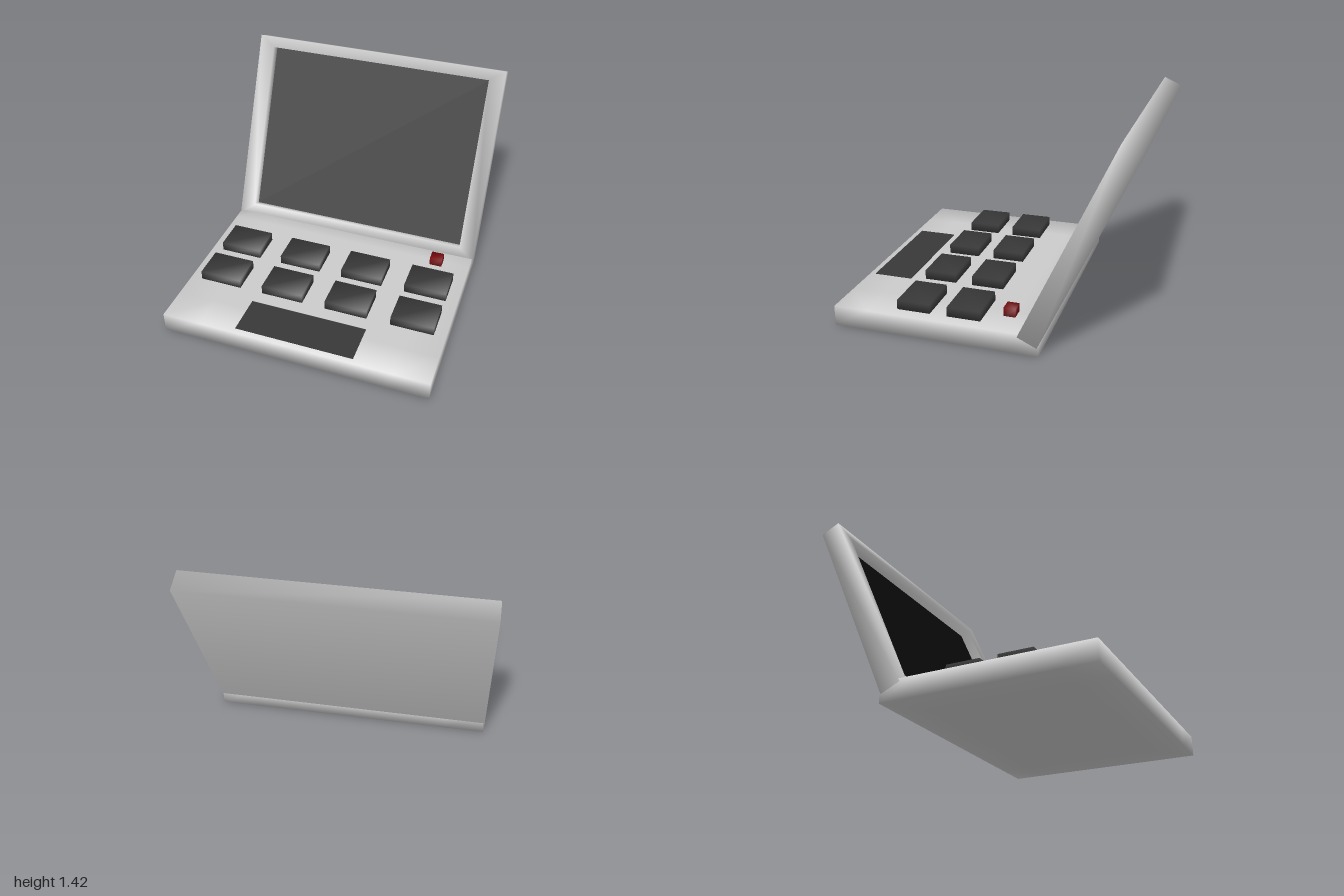
import * as THREE from 'three';
import { mergeVertices } from 'three/addons/utils/BufferGeometryUtils.js';

const material = (name, color) => {
  const m = new THREE.MeshStandardMaterial({ color });
  m.name = name;
  return m;
};

// Box with welded corners, so its shading runs softly round the edges
function softBox(w, h, d, sx = 1, sz = 1) {
  const box = new THREE.BoxGeometry(w, h, d, sx, 1, sz);
  box.deleteAttribute('normal');
  box.deleteAttribute('uv');
  const g = mergeVertices(box);
  g.computeVertexNormals();
  return g;
}

// Lid shell: rectangular rings from the back, round the rim and into the recess
function lidShell(rings) {
  const pos = [], idx = [];
  for (const [hw, y0, y1, z] of rings) pos.push(-hw, y0, z, hw, y0, z, hw, y1, z, -hw, y1, z);
  for (let r = 0; r < rings.length - 1; r++) {
    for (let i = 0; i < 4; i++) {
      const a = r * 4 + i, b = r * 4 + (i + 1) % 4;
      idx.push(a, b, b + 4, a, b + 4, a + 4);
    }
  }
  idx.push(0, 2, 1, 0, 3, 2); // back panel
  const g = new THREE.BufferGeometry();
  g.setAttribute('position', new THREE.Float32BufferAttribute(pos, 3));
  g.setIndex(idx);
  g.computeVertexNormals();
  return g;
}

export function createModel() {
  const casing = material('light grey casing', 0xcccccc);
  const dark = material('dark grey keys', 0x383838);
  const black = material('black screen', 0x0a0a0a);
  const red = material('red button', 0x7c0c0f);

  const model = new THREE.Group();
  model.name = 'laptop';
  const add = (parent, name, geometry, mat, x, y, z) => {
    const mesh = new THREE.Mesh(geometry, mat);
    mesh.name = name;
    mesh.position.set(x, y, z);
    parent.add(mesh);
    return mesh;
  };

  // Base
  add(model, 'base', softBox(1.895, 0.14, 1.41, 7, 6), casing, 0, 0.07, 0.295);

  // Two rows of four keys
  const keys = new THREE.Group();
  keys.name = 'keys';
  model.add(keys);
  const keyGeometry = softBox(0.305, 0.075, 0.23);
  for (const z of [0.115, 0.465]) {
    for (const x of [-0.712, -0.237, 0.237, 0.712]) add(keys, 'key', keyGeometry, dark, x, 0.1685, z);
  }

  // Power button and touchpad
  add(model, 'powerButton', softBox(0.09, 0.07, 0.08), red, 0.705, 0.165, -0.16);
  add(model, 'touchpad', new THREE.BoxGeometry(0.84, 0.006, 0.28), dark, 0, 0.14, 0.82);

  // Tilted lid with a recessed screen
  const lid = new THREE.Group();
  lid.name = 'lid';
  lid.position.set(0, 0.74, -0.635);
  lid.rotation.x = -0.432;
  model.add(lid);
  const bottom = -0.623, top = 0.637, recess = -0.0055;
  add(lid, 'lidShell', lidShell([
    [0.953, -0.716, 0.716, -0.0715],
    [0.953, -0.716, 0.716, 0.0715],
    [0.84, bottom, top, 0.0715],
    [0.84, bottom, top, recess],
  ]), casing, 0, 0, 0);
  add(lid, 'screen', new THREE.PlaneGeometry(1.68, top - bottom), black, 0, (top + bottom) / 2, recess);

  return model;
}
